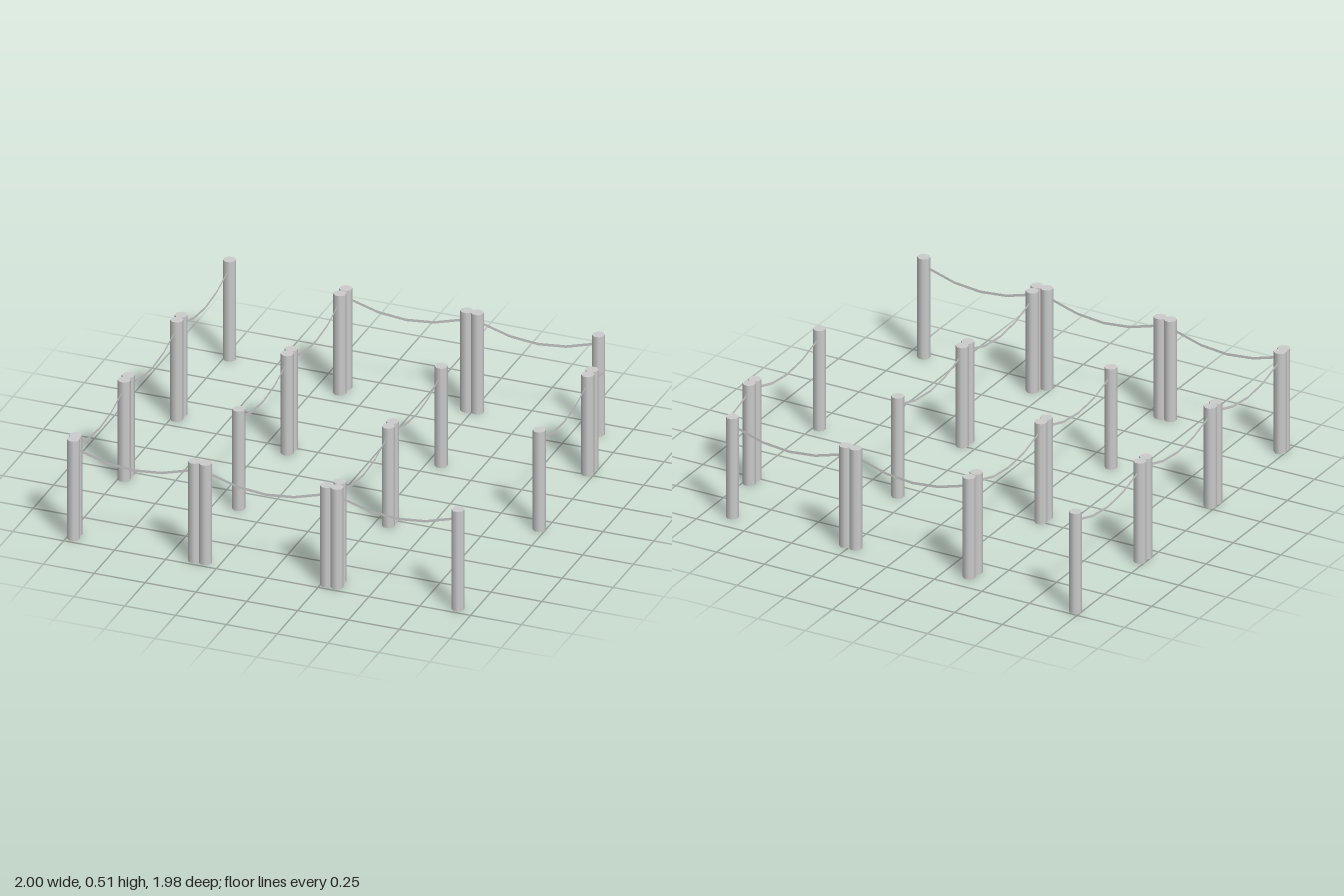
import * as THREE from 'three';

const POST_H = 0.51, APOTHEM = 0.028;
const SPAN = 0.595;                       // post centre to post centre
const ROPE_LOW = 0.404, SAG = 0.053, ROPE_W = 0.013;
const HALF = 0.274;                       // half the rope length

export function createModel() {
  const group = new THREE.Group();
  const wood = new THREE.MeshStandardMaterial({ color: 0xcccccc });
  const rope = new THREE.MeshStandardMaterial({ color: 0xcccccc, side: THREE.DoubleSide });

  // octagonal post, flat sides facing the axes
  const postGeo = new THREE.CylinderGeometry(APOTHEM / Math.cos(Math.PI / 8), APOTHEM / Math.cos(Math.PI / 8), POST_H, 8);
  postGeo.rotateY(Math.PI / 8);
  postGeo.translate(0, POST_H / 2, 0);

  // upright ribbon sagging along a parabola, from x0 to x1 about the middle of the span
  function ropeGeometry(x0, x1, segments) {
    const geo = new THREE.PlaneGeometry(x1 - x0, ROPE_W, segments, 1);
    geo.translate((x0 + x1) / 2, 0, 0);
    const p = geo.attributes.position;
    for (let i = 0; i < p.count; i++) {
      const t = p.getX(i) / HALF;
      p.setY(i, p.getY(i) + ROPE_LOW + SAG * t * t);
    }
    geo.computeVertexNormals();
    return geo;
  }
  const fullRope = ropeGeometry(-HALF, HALF, 4);
  const looseRope = ropeGeometry(-HALF, -HALF / 2, 1);

  function addPost(parent, x) {
    const post = new THREE.Mesh(postGeo, wood);
    post.name = 'post';
    post.position.x = x;
    parent.add(post);
  }

  // one fence section, centred on (x, z), running along x or z
  function addSection(x, z, alongZ) {
    const section = new THREE.Group();
    section.name = 'fenceSection';
    addPost(section, -SPAN / 2);
    addPost(section, SPAN / 2);
    const line = new THREE.Mesh(fullRope, rope);
    line.name = 'rope';
    section.add(line);
    section.position.set(x, 0, z);
    if (alongZ) section.rotation.y = Math.PI / 2;
    group.add(section);
  }

  // sections running front to back: [x, z of the middles]
  const columns = [
    [-0.973, [-0.67, -0.022, 0.623]],
    [-0.38, [-0.543, 0.103]],
    [0.318, [-0.043, 0.603]],
    [0.971, [-0.213]],
  ];
  for (const [x, mids] of columns) for (const z of mids) addSection(x, z, true);

  // sections running side to side: [z, x of the middles]
  const rows = [
    [-0.898, [-0.077, 0.571]],
    [0.959, [-0.671, -0.022, 0.624]],
  ];
  for (const [z, mids] of rows) for (const x of mids) addSection(x, z, false);

  // unfinished section: one post with a loose rope end towards the back
  const open = new THREE.Group();
  open.name = 'openSection';
  addPost(open, -SPAN / 2);
  const loose = new THREE.Mesh(looseRope, rope);
  loose.name = 'looseRope';
  open.add(loose);
  open.position.set(0.971, 0, -0.563 - SPAN / 2);
  open.rotation.y = Math.PI / 2;
  group.add(open);

  return group;
}
